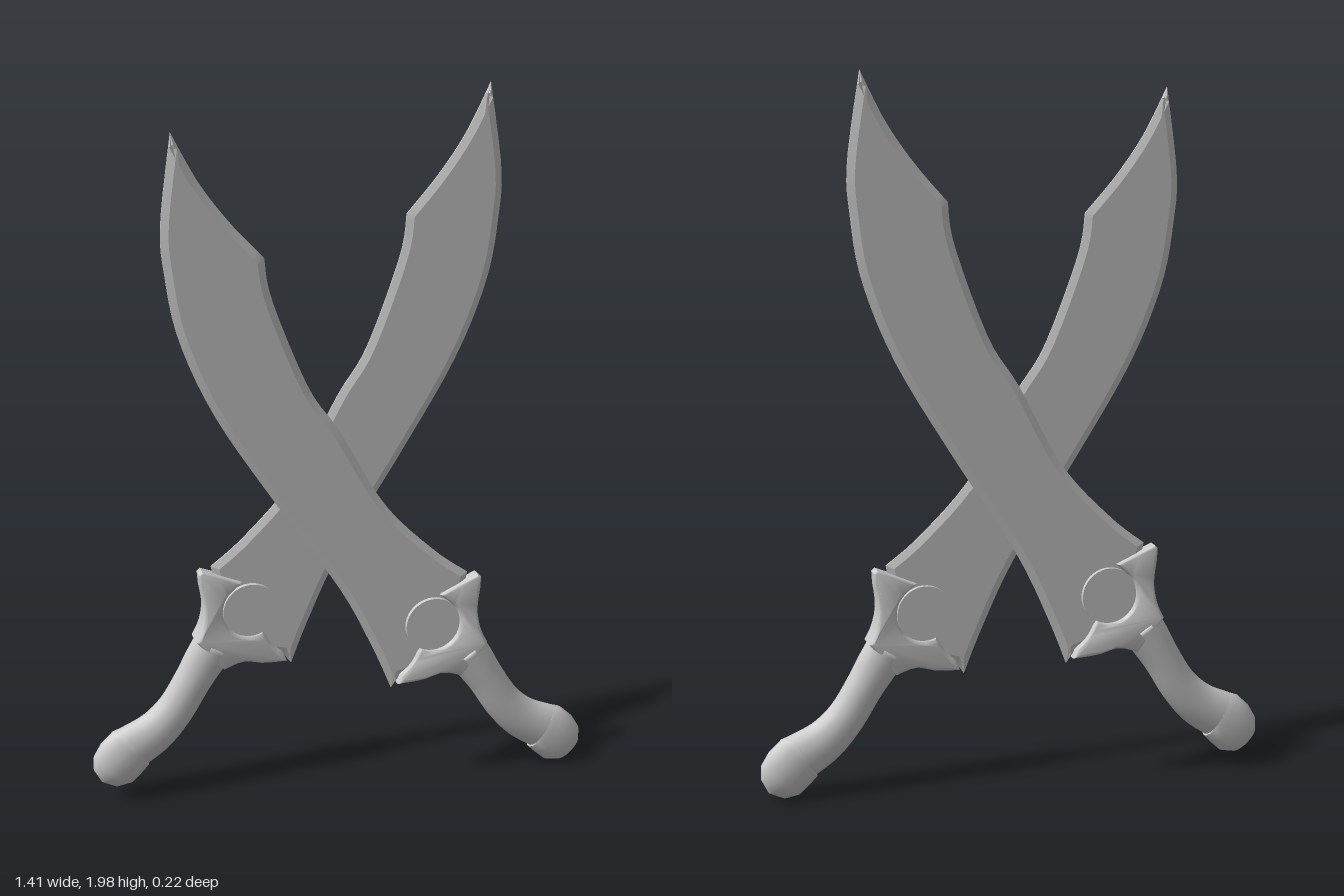
import * as THREE from 'three';
import { toCreasedNormals } from 'three/addons/utils/BufferGeometryUtils.js';

const material = new THREE.MeshStandardMaterial({ color: 0xcccccc });
const DISC = { x: 0.241, y: 0.52, r: 0.078 };

const vec2 = (list) => list.map(([x, y]) => new THREE.Vector2(x, y));
const smooth = (list, n) => new THREE.SplineCurve(vec2(list)).getPoints(n);

function part(name, geometry) {
  const mesh = new THREE.Mesh(geometry, material);
  mesh.name = name;
  return mesh;
}

// Closed tube through stations [x, y, half width, half depth] lying in the xy plane
function loft(stations, sides = 20) {
  const pos = [], index = [];
  stations.forEach(([x, y, w, d], i) => {
    const a = stations[Math.max(i - 1, 0)];
    const b = stations[Math.min(i + 1, stations.length - 1)];
    const t = new THREE.Vector2(b[0] - a[0], b[1] - a[1]).normalize();
    for (let j = 0; j < sides; j++) {
      const angle = (j / sides) * Math.PI * 2;
      const s = Math.cos(angle) * w;
      pos.push(x - t.y * s, y + t.x * s, Math.sin(angle) * d);
      if (i === stations.length - 1) continue;
      const p = i * sides + j, q = i * sides + ((j + 1) % sides);
      index.push(p, q, q + sides, p, q + sides, p + sides);
    }
  });
  const geometry = new THREE.BufferGeometry();
  geometry.setAttribute('position', new THREE.Float32BufferAttribute(pos, 3));
  geometry.setIndex(index);
  geometry.computeVertexNormals();
  return geometry;
}

// Broad curved blade with a clipped point and bevelled edges
function bladeGeometry() {
  const clip = smooth([[-0.458, 1.94], [-0.39, 1.81], [-0.31, 1.70], [-0.225, 1.606]], 10);
  const spine = smooth([[-0.225, 1.606], [-0.205, 1.49], [-0.11, 1.246], [-0.024, 1.114],
    [0.103, 0.89], [0.246, 0.738], [0.345, 0.66]], 28);
  const heel = vec2([[0.33, 0.58], [0.26, 0.40], [0.15, 0.365]]);
  const edge = smooth([[0.125, 0.33], [0.07, 0.463], [-0.024, 0.653], [-0.204, 0.929],
    [-0.362, 1.188], [-0.452, 1.405], [-0.484, 1.58], [-0.49, 1.71], [-0.458, 1.94]], 36);
  const outline = [...clip, ...spine.slice(1), ...heel, ...edge.slice(0, -1)];
  const geometry = new THREE.ExtrudeGeometry(new THREE.Shape(outline), {
    depth: 0.004, bevelThickness: 0.008, bevelSize: 0.02, bevelOffset: -0.02, bevelSegments: 1,
  });
  geometry.translate(0, 0, -0.002);
  return toCreasedNormals(geometry, 0.3);
}

// Hooked guard wrapping the disc, thickening toward the grip
function guardGeometry() {
  const outline = [
    ...vec2([[0.262, 0.606], [0.32, 0.632], [0.373, 0.654], [0.383, 0.645]]),
    ...smooth([[0.381, 0.61], [0.373, 0.548], [0.382, 0.49], [0.402, 0.448]], 8),
    ...smooth([[0.325, 0.352], [0.27, 0.368], [0.21, 0.352], [0.14, 0.345]], 8),
    ...smooth([[0.15, 0.372], [0.182, 0.405], [0.198, 0.435]], 5),
  ];
  for (let i = 0; i <= 20; i++) {
    const a = THREE.MathUtils.degToRad(-115 + i * 8);
    outline.push(new THREE.Vector2(DISC.x + Math.cos(a) * DISC.r, DISC.y + Math.sin(a) * DISC.r));
  }
  const geometry = new THREE.ExtrudeGeometry(new THREE.Shape(outline), {
    depth: 1, bevelThickness: 0.5, bevelSize: 0.01, bevelOffset: -0.01, bevelSegments: 4,
  });
  geometry.translate(0, 0, -0.5);
  const p = geometry.attributes.position;
  for (let i = 0; i < p.count; i++) {
    const along = (p.getX(i) - DISC.x - p.getY(i) + DISC.y) * 0.707;
    const half = 0.022 + 0.018 * THREE.MathUtils.smoothstep(along, 0.02, 0.15);
    p.setZ(i, p.getZ(i) * half);
  }
  return toCreasedNormals(geometry, 0.7);
}

// Curved oval grip
function gripGeometry() {
  const curve = new THREE.CatmullRomCurve3([
    [0.345, 0.42, 0.062], [0.375, 0.375, 0.059], [0.41, 0.32, 0.054], [0.465, 0.235, 0.055],
    [0.525, 0.175, 0.062], [0.60, 0.132, 0.07],
  ].map((p) => new THREE.Vector3(...p)));
  const stations = curve.getPoints(24).map((p) => [p.x, p.y, p.z, 0.042]);
  return loft([[0.335, 0.435, 0.001, 0.001], ...stations]);
}

// Blunt domed cap at the end of the grip
function pommelGeometry() {
  return toCreasedNormals(loft([
    [0.578, 0.145, 0.001, 0.001], [0.585, 0.141, 0.068, 0.042], [0.596, 0.134, 0.075, 0.0435],
    [0.625, 0.106, 0.076, 0.0435], [0.65, 0.075, 0.07, 0.041], [0.672, 0.052, 0.045, 0.026],
    [0.683, 0.04, 0.001, 0.001],
  ]), 0.6);
}

function createSword(name) {
  const sword = new THREE.Group();
  sword.name = name;
  const disc = new THREE.CylinderGeometry(DISC.r, DISC.r, 0.044, 40);
  disc.rotateX(Math.PI / 2).translate(DISC.x, DISC.y, 0);
  sword.add(
    part('blade', bladeGeometry()),
    part('guard', guardGeometry()),
    part('guardDisc', disc),
    part('grip', gripGeometry()),
    part('pommel', pommelGeometry()),
  );
  return sword;
}

export function createModel() {
  const model = new THREE.Group();
  model.name = 'crossedSwords';
  const front = createSword('frontSword');
  front.position.set(0, 0, 0.067);
  // The rear sword is turned around to cross the front one
  const rear = createSword('rearSword');
  rear.position.set(0, 0.05, -0.069);
  rear.rotation.set(0, Math.PI, -0.0155);
  model.add(front, rear);
  return model;
}
